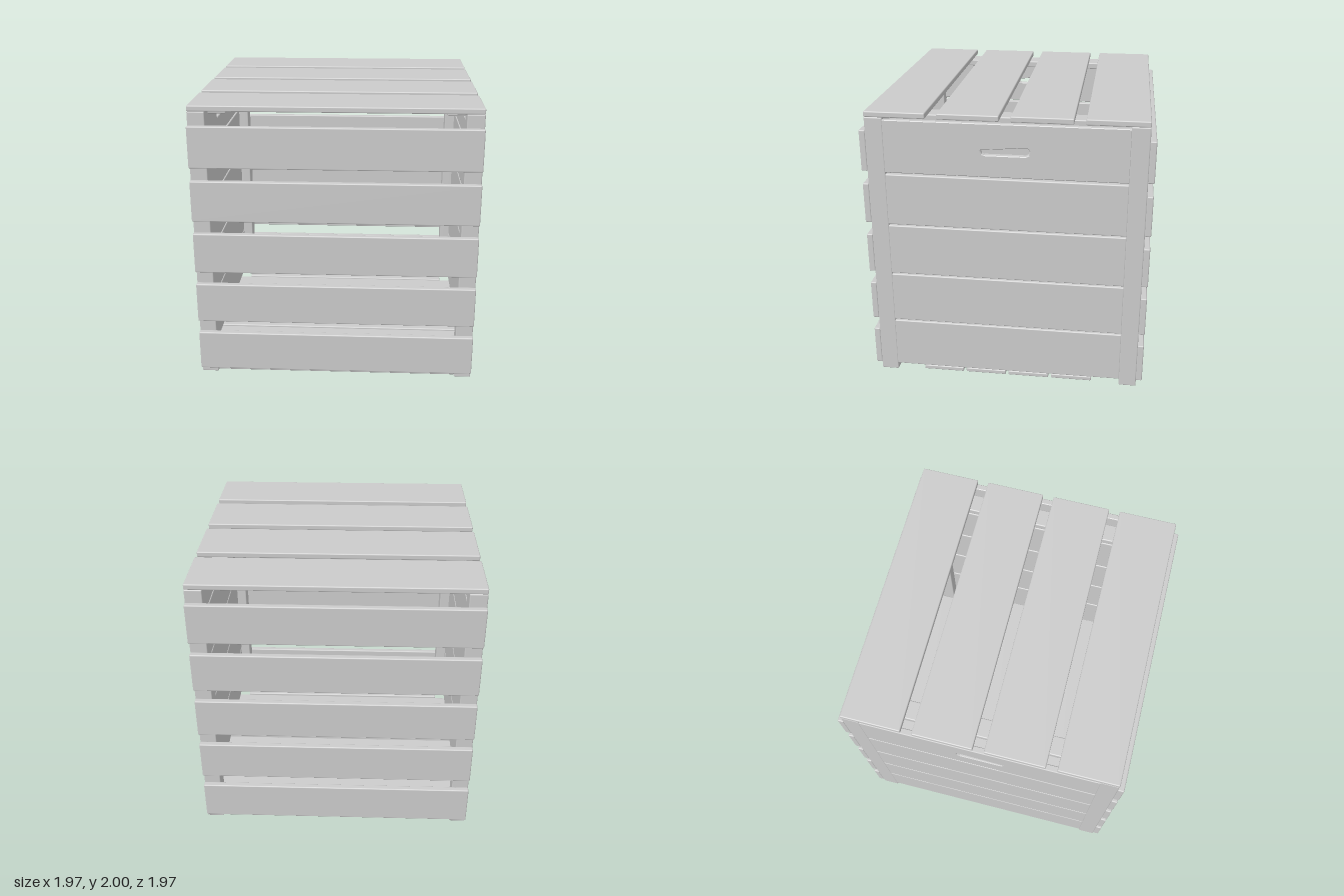
import * as THREE from 'three';
import { RoundedBoxGeometry } from 'three/addons/geometries/RoundedBoxGeometry.js';

const material = new THREE.MeshStandardMaterial({ color: 0xcccccc });

// Softly rounded board given by its min/max extents on each axis
function board(name, [x0, x1], [y0, y1], [z0, z1]) {
  const geometry = new RoundedBoxGeometry(x1 - x0, y1 - y0, z1 - z0, 2, 0.008);
  const mesh = new THREE.Mesh(geometry, material);
  mesh.position.set((x0 + x1) / 2, (y0 + y1) / 2, (z0 + z1) / 2);
  mesh.name = name;
  return mesh;
}

// Top side board with a tapered hand hole, outlined in (z, y)
function handleBoard(x0, x1, y0, y1, halfZ) {
  const bevel = 0.005;
  const shape = new THREE.Shape();
  shape.moveTo(-halfZ + bevel, y0 + bevel);
  shape.lineTo(halfZ - bevel, y0 + bevel);
  shape.lineTo(halfZ - bevel, y1 - bevel);
  shape.lineTo(-halfZ + bevel, y1 - bevel);
  shape.closePath();
  const hole = [[0.175, 1.765], [0.16, 1.73], [0.14, 1.722], [-0.14, 1.722],
    [-0.163, 1.735], [-0.17, 1.765], [-0.16, 1.785], [-0.14, 1.792]];
  shape.holes.push(new THREE.Path(hole.map(([z, y]) => new THREE.Vector2(z, y))));
  const geometry = new THREE.ExtrudeGeometry(shape, {
    depth: x1 - x0 - 2 * bevel, bevelThickness: bevel, bevelSize: bevel, bevelSegments: 1,
  });
  // Turn the outline so its horizontal axis runs along z
  geometry.rotateY(-Math.PI / 2);
  geometry.translate(x1 - bevel, 0, 0);
  const mesh = new THREE.Mesh(geometry, material);
  mesh.name = 'handleBoard';
  return mesh;
}

export function createModel() {
  const crate = new THREE.Group();
  crate.name = 'slattedCrate';

  // Solid side walls, corner posts and lid cleats, on both sides
  for (const side of [1, -1]) {
    const span = (a, b) => (side > 0 ? [a, b] : [-b, -a]);
    const wall = new THREE.Group();
    wall.name = side > 0 ? 'leftWall' : 'rightWall';
    for (const end of [1, -1]) {
      const z = end > 0 ? [0.82, 0.945] : [-0.945, -0.82];
      wall.add(board('cornerPost', span(0.865, 0.985), [0, 1.96], z));
    }
    for (let i = 0; i < 4; i++) {
      const y = 0.05 + i * 0.38;
      wall.add(board('sideBoard', span(0.942, 0.985), [y, y + 0.37], [-0.825, 0.825]));
    }
    const [x0, x1] = span(0.942, 0.985);
    wall.add(handleBoard(x0, x1, 1.573, 1.945, 0.825));
    crate.add(wall);
    crate.add(board('lidCleat', span(0.75, 0.88), [1.913, 1.962], [-0.8, 0.8]));
  }

  // Spaced slats across the front and back
  for (const z of [[0.943, 0.987], [-0.987, -0.943]]) {
    for (let i = 0; i < 5; i++) {
      const y = 0.05 + i * 0.382;
      crate.add(board(z[0] > 0 ? 'frontSlat' : 'backSlat', [-0.985, 0.985], [y, y + 0.29], z));
    }
  }

  // Four lid boards
  for (let i = 0; i < 4; i++) {
    const z = -0.945 + i * 0.492;
    crate.add(board('lidBoard', [-0.985, 0.985], [1.96, 2], [z, z + 0.415]));
  }

  // Six floor boards, the outer two fitted between the posts
  for (let i = 0; i < 6; i++) {
    const z = -0.935 + i * 0.315;
    const x = i === 0 || i === 5 ? 0.865 : 0.975;
    crate.add(board('floorBoard', [-x, x], [0.01, 0.043], [z, z + 0.295]));
  }
  return crate;
}
